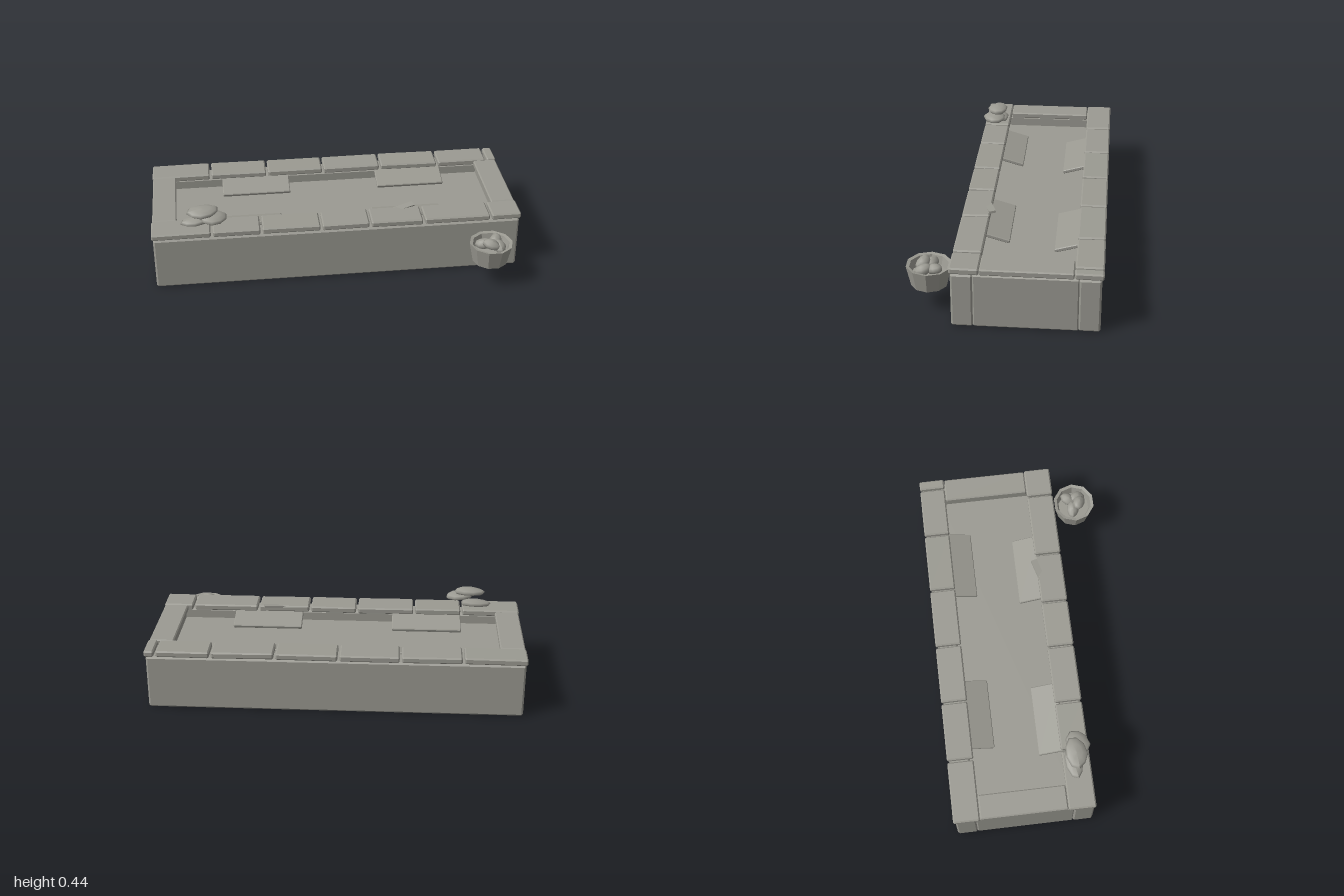
import * as THREE from 'three';
import { ConvexGeometry } from 'three/addons/geometries/ConvexGeometry.js';

const stone = new THREE.MeshStandardMaterial({ color: 0x9b9a92 });
stone.name = 'greyStone';
const stoneFlat = stone.clone();
stoneFlat.flatShading = true;
stoneFlat.side = THREE.DoubleSide;

// Box with chamfered edges, centred on its origin
function chamferBox(w, h, d, c) {
  const points = [];
  for (const x of [-1, 1]) for (const y of [-1, 1]) for (const z of [-1, 1]) {
    const [a, b, e] = [x * w / 2, y * h / 2, z * d / 2];
    points.push(
      new THREE.Vector3(a, b - y * c, e - z * c),
      new THREE.Vector3(a - x * c, b, e - z * c),
      new THREE.Vector3(a - x * c, b - y * c, e));
  }
  return new ConvexGeometry(points);
}

// Chamfered block given by its extents on each axis
function block(name, [x0, x1], [y0, y1], [z0, z1], c) {
  const mesh = new THREE.Mesh(chamferBox(x1 - x0, y1 - y0, z1 - z0, c), stone);
  mesh.position.set((x0 + x1) / 2, (y0 + y1) / 2, (z0 + z1) / 2);
  mesh.name = name;
  return mesh;
}

// Flattened, slightly lumpy pebble
function pebble(name, [x, y, z], [rx, ry, rz], [tx, ty, tz]) {
  const geo = new THREE.SphereGeometry(1, 9, 6);
  const p = geo.attributes.position;
  for (let i = 0; i < p.count; i++) {
    const k = 1 + 0.07 * Math.sin(3 * p.getX(i) + 2 * p.getZ(i) + 9 * x);
    p.setXYZ(i, p.getX(i) * k, p.getY(i) * k, p.getZ(i) * k);
  }
  geo.scale(rx, ry, rz);
  geo.computeVertexNormals();
  const mesh = new THREE.Mesh(geo, stone);
  mesh.position.set(x, y, z);
  mesh.rotation.set(tx, ty, tz);
  mesh.name = name;
  return mesh;
}

export function createModel() {
  const model = new THREE.Group();
  model.name = 'stoneTrough';

  // Walls, open underneath
  model.add(block('frontWall', [-0.987, 0.987], [0, 0.295], [0.14, 0.25], 0.01));
  model.add(block('backWall', [-0.987, 0.987], [0, 0.295], [-0.485, -0.375], 0.01));
  for (const s of [-1, 1]) {
    const x = s < 0 ? [-0.985, -0.88] : [0.88, 0.985];
    model.add(block('endWall', x, [0, 0.295], [-0.378, 0.143], 0.008));
    const cap = s < 0 ? [-0.99, -0.86] : [0.86, 0.99];
    model.add(block('endCoping', cap, [0.297, 0.33], [-0.352, 0.108], 0.006));
  }

  // Raised bed between the walls
  const bed = new THREE.Mesh(new THREE.BoxGeometry(1.78, 0.12, 0.53), stone);
  bed.position.set(0, 0.18, -0.117);
  bed.name = 'bed';
  model.add(bed);

  // Coping stones, given by the joints between them
  const rows = [
    ['frontCoping', [-1, -0.675, -0.412, -0.092, 0.172, 0.462, 0.828, 1], [0.11, 0.255]],
    ['backCoping', [-1, -0.665, -0.342, -0.02, 0.312, 0.648, 0.937, 1], [-0.495, -0.355]],
  ];
  for (const [name, joints, z] of rows) {
    for (let i = 0; i < joints.length - 1; i++) {
      const tile = block(name, [joints[i] + 0.006, joints[i + 1] - 0.006], [0.299, 0.333], z, 0.007);
      tile.rotation.z = 0.008 * Math.sin(i * 2.3 + z[0] * 9);
      tile.rotation.x = 0.015 * Math.sin(i * 1.7 + 1);
      model.add(tile);
    }
  }

  // Slabs leaning down into the bed
  for (const [x, side] of [[-0.41, -1], [0.47, -1], [-0.48, 1], [0.4, 1]]) {
    const slab = new THREE.Mesh(chamferBox(0.38, 0.02, 0.15, 0.004), stone);
    slab.position.set(x, 0.277, side < 0 ? -0.311 : 0.066);
    slab.rotation.x = side < 0 ? 0.28 : -0.28;
    slab.name = 'leaningSlab';
    model.add(slab);
  }

  // Loose chip lying over the front coping
  const chip = new THREE.Mesh(new THREE.BoxGeometry(0.12, 0.012, 0.035), stone);
  chip.position.set(0.37, 0.331, 0.115);
  chip.rotation.set(0.1, 0.3, 0.08);
  chip.name = 'chip';
  model.add(chip);

  // Stacked stones
  model.add(pebble('lowerStone', [-0.755, 0.356, 0.165], [0.085, 0.019, 0.045], [0, 0.2, 0.08]));
  model.add(pebble('middleStone', [-0.665, 0.388, 0.195], [0.077, 0.021, 0.064], [0.05, 0.1, -0.05]));
  model.add(pebble('upperStone', [-0.72, 0.419, 0.18], [0.085, 0.021, 0.058], [0.08, 0.1, 0.04]));

  // Faceted bowl with stones
  const bowl = new THREE.Group();
  bowl.name = 'bowl';
  bowl.position.set(0.805, 0.13, 0.378);
  const profile = [[0, 0], [0.094, 0], [0.117, 0.11], [0.1, 0.106], [0.088, 0.06], [0, 0.06]];
  const shell = new THREE.Mesh(
    new THREE.LatheGeometry(profile.map(([r, y]) => new THREE.Vector2(r, y)), 10, Math.PI / 10), stoneFlat);
  shell.name = 'bowlShell';
  bowl.add(shell);
  const fill = [[-0.038, 0.098, -0.012], [0.028, 0.1, -0.03], [0.038, 0.098, 0.025], [-0.005, 0.115, 0.03]];
  fill.forEach((at, i) => bowl.add(pebble('bowlStone', at, [0.048, 0.026, 0.034], [0.15, i * 0.9, 0.15])));
  model.add(bowl);

  return model;
}
